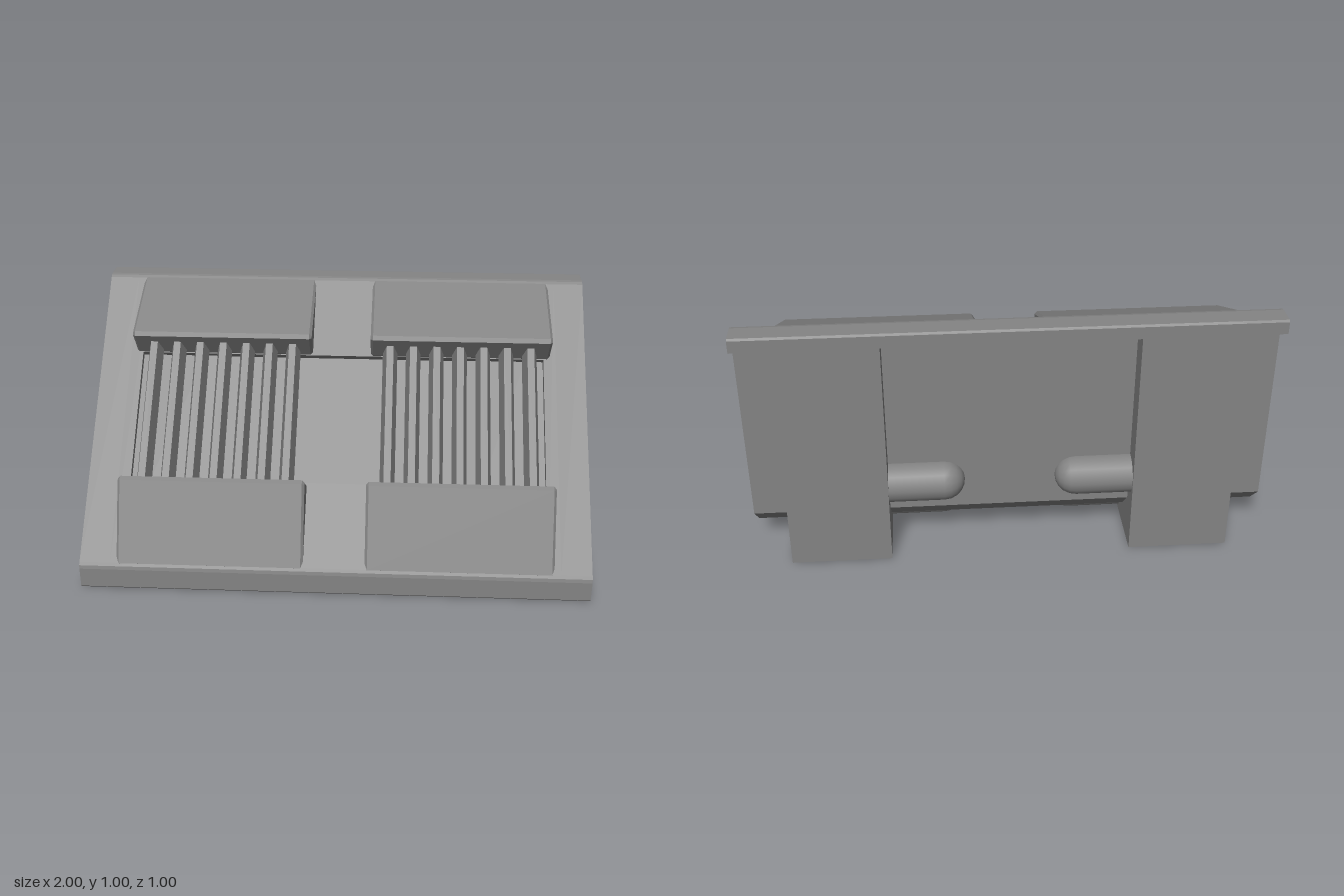
import * as THREE from 'three';

const material = new THREE.MeshStandardMaterial({ color: 0x848484 });

// Every profile is a list of [z, y] points; extruded along x from x0 to x1.
const toPoints = (pts) => pts.map(([z, y]) => new THREE.Vector2(-z, y));
// Reflection across the middle of the 45 degree slope.
const flip = (pts) => pts.map(([z, y]) => [y - 0.5, z + 0.5]);

function prism(name, pts, x0, x1, { hole = null, bevel = 0 } = {}) {
  const shape = new THREE.Shape(toPoints(pts));
  if (hole) shape.holes.push(new THREE.Path(toPoints(hole)));
  const geo = new THREE.ExtrudeGeometry(shape, {
    depth: x1 - x0 - 2 * bevel,
    bevelEnabled: bevel > 0,
    bevelSize: bevel,
    bevelThickness: bevel,
    bevelOffset: -bevel,
    bevelSegments: 1,
  });
  geo.rotateY(Math.PI / 2);
  geo.translate(x0 + bevel, 0, 0);
  const mesh = new THREE.Mesh(geo, material);
  mesh.name = name;
  return mesh;
}

export function createModel() {
  const model = new THREE.Group();
  model.name = 'wedgeHousing';

  // Wedge outline with softened lips at the bottom front and the top back
  const lip = [[0.445, 0.09], [0.445, 0], [0.493, 0], [0.5, 0.007], [0.5, 0.086], [0.497, 0.1], [0.489, 0.111]];
  const outline = [...flip(lip).reverse(), [-0.41, 0.18], [-0.32, 0.09], ...lip];
  const recess = [[0.245, 0.355], [0.224, 0.334], [-0.166, 0.724], [-0.145, 0.745]];
  const pocket = [
    [0.33, 0.14], [-0.3, 0.14], [-0.362, 0.2], [-0.362, 0.83], [-0.175, 0.643],
    [-0.172, 0.556], [0.056, 0.328], [0.143, 0.325],
  ];

  // Middle of the wedge with the shallow panel sunk into the slope
  model.add(prism('centerBody', [...outline, ...recess], -0.83, 0.83));

  // Lower cap profile; the upper cap is its reflection
  const cap = [[0.49, 0.11], [0.36, 0.412], [0.342, 0.42], [0.25, 0.355], [0.225, 0.33], [0.465, 0.09]];

  for (const s of [-1, 1]) {
    const side = s < 0 ? 'right' : 'left';
    const span = (a, b) => (s > 0 ? [a, b] : [-b, -a]);

    // Solid web, then the outer wall with its pocket
    model.add(prism(side + 'Web', outline, ...span(0.83, 0.88)));
    model.add(prism(side + 'SideWall', outline, ...span(0.88, 1), { hole: pocket }));

    // Square foot block filling the corner behind the wedge
    const foot = [[0.445, 0], [-0.5, 0], [-0.5, 0.945], [-0.38, 0.945], [0.445, 0.12]];
    model.add(prism(side + 'FootBlock', foot, ...span(0.47, 0.86)));

    // Caps holding the bar ends
    model.add(prism(side + 'LowerCap', cap, ...span(0.12, 0.855), { bevel: 0.01 }));
    model.add(prism(side + 'UpperCap', flip(cap), ...span(0.12, 0.855), { bevel: 0.01 }));

    // Tapered bars floating just above the slope
    const bars = new THREE.Group();
    bars.name = side + 'Bars';
    const section = new THREE.Shape([
      new THREE.Vector2(-0.03, 0.018), new THREE.Vector2(0.03, 0.018),
      new THREE.Vector2(0.014, 0.078), new THREE.Vector2(-0.014, 0.078),
    ]);
    const barGeo = new THREE.ExtrudeGeometry(section, { depth: 0.6, bevelEnabled: false });
    barGeo.translate(0, 0, -0.3);
    for (let i = 0; i < 7; i++) {
      const bar = new THREE.Mesh(barGeo, material);
      bar.name = 'bar';
      bar.position.x = s * (0.2 + 0.095 * i);
      bars.add(bar);
    }
    bars.position.set(0, 0.55, 0.05);
    bars.rotation.x = Math.PI / 4;
    model.add(bars);

    // Rounded pegs, one on the back and one underneath
    for (const [name, y, z] of [['BackPeg', 0.31, -0.415], ['BottomPeg', 0.085, -0.19]]) {
      const peg = new THREE.Mesh(new THREE.CapsuleGeometry(0.08, 0.24, 5, 16), material);
      peg.name = side + name;
      peg.rotation.z = Math.PI / 2;
      peg.position.set(s * 0.375, y, z);
      model.add(peg);
    }
  }
  return model;
}
